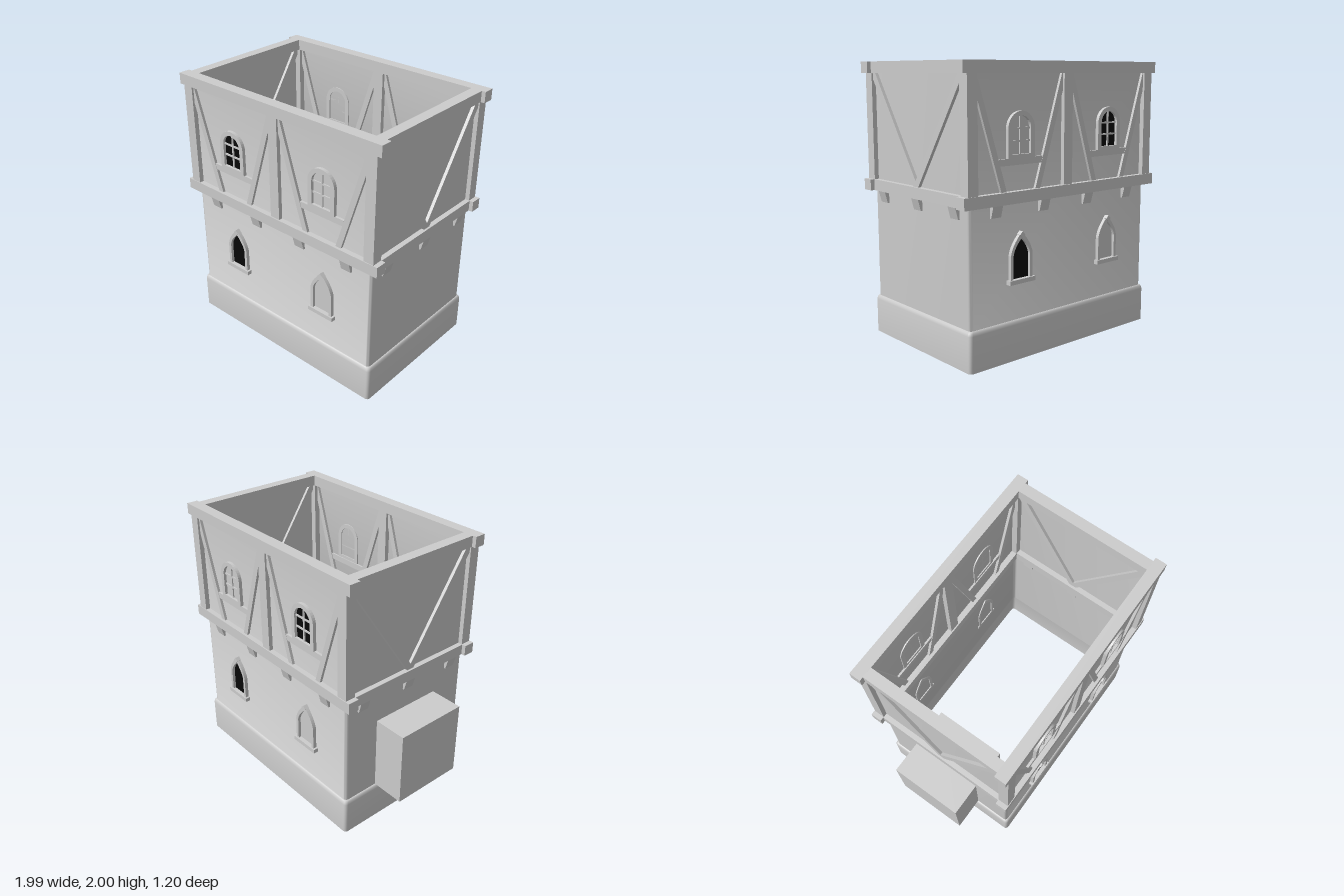
import * as THREE from 'three';
import { toCreasedNormals } from 'three/addons/utils/BufferGeometryUtils.js';

const CX = 0.09;            // middle of the house in x (the side box shifts it)
const HX = 0.837, HZ = 0.56; // half sizes of the wall shell

export function createModel() {
  const stone = new THREE.MeshStandardMaterial({ color: 0xcccccc });
  stone.name = 'plain grey';
  const shellMat = new THREE.MeshStandardMaterial({ color: 0xcccccc, side: THREE.DoubleSide });
  shellMat.name = 'plain grey shell';
  const dark = new THREE.MeshStandardMaterial({ color: 0x080808 });
  dark.name = 'dark glass';

  const model = new THREE.Group();
  model.name = 'timberHouse';
  const house = new THREE.Group();
  house.name = 'house';
  house.position.x = CX;
  model.add(house);

  const add = (parent, name, geo, mat = stone) => {
    const m = new THREE.Mesh(geo, mat);
    m.name = name;
    parent.add(m);
    return m;
  };
  // box from its lower and upper limits
  const block = (parent, name, x0, x1, y0, y1, z0, z1) => {
    const m = add(parent, name, new THREE.BoxGeometry(x1 - x0, y1 - y0, z1 - z0));
    m.position.set((x0 + x1) / 2, (y0 + y1) / 2, (z0 + z1) / 2);
    return m;
  };
  const slab = (shape, z0, z1) => new THREE.ExtrudeGeometry(shape,
    { depth: z1 - z0, bevelEnabled: false, curveSegments: 10 }).translate(0, 0, z0);
  const polygon = (pts) => new THREE.Shape(pts.map(([x, y]) => new THREE.Vector2(x, y)));

  // window outlines
  const roundArch = (w, bottom, spring) => {
    const s = new THREE.Shape();
    s.moveTo(-w, bottom);
    s.lineTo(w, bottom);
    s.lineTo(w, spring);
    s.absarc(0, spring, w, 0, Math.PI, false);
    s.lineTo(-w, bottom);
    return s;
  };
  const pointedArch = (w, bottom, spring, top) => {
    const s = new THREE.Shape();
    const mid = spring + (top - spring) * 0.5;
    s.moveTo(-w, bottom);
    s.lineTo(w, bottom);
    s.lineTo(w, spring);
    s.quadraticCurveTo(w * 0.85, mid, 0, top);
    s.quadraticCurveTo(-w * 0.85, mid, -w, spring);
    s.lineTo(-w, bottom);
    return s;
  };

  // Open wall shell with a wider plinth, lofted from rounded rectangles
  const ring = (y, grow) => {
    const pts = [], r = 0.025, n = 4;
    [[1, 1], [-1, 1], [-1, -1], [1, -1]].forEach(([sx, sz], q) => {
      for (let i = 0; i <= n; i++) {
        const a = (q + i / n) * Math.PI / 2;
        pts.push(sx * (HX + grow - r) + r * Math.cos(a), y, sz * (HZ + grow - r) + r * Math.sin(a));
      }
    });
    return pts;
  };
  const profile = [[0, 0.018], [0.25, 0.018], [0.27, 0.013], [0.28, 0.005], [0.28, 0], [1.96, 0]];
  const pos = profile.flatMap(([y, g]) => ring(y, g));
  const N = 20, idx = [];
  for (let j = 0; j < profile.length - 1; j++) {
    for (let i = 0; i < N; i++) {
      const a = j * N + i, b = j * N + (i + 1) % N;
      idx.push(a, a + N, b, b, a + N, b + N);
    }
  }
  const shell = new THREE.BufferGeometry();
  shell.setAttribute('position', new THREE.Float32BufferAttribute(pos, 3));
  shell.setIndex(idx);
  add(house, 'wallShell', toCreasedNormals(shell, 0.9), shellMat);

  // Box against the left-hand gable
  block(model, 'sideBox', -1, -0.44, 0.28, 0.84, -0.28, 0.28);

  // Beams running round the top and the middle
  for (const y of [1.08, 1.92]) {
    for (const s of [-1, 1]) {
      const z = s * 0.5575, x = s * 0.835;
      block(house, 'longBeam', -0.905, 0.905, y, y + 0.08, z - 0.0425, z + 0.0425);
      block(house, 'crossBeam', x - 0.04, x + 0.04, y, y + 0.08, -0.52, 0.52);
    }
  }
  for (const x of [-0.83, 0.83]) {
    for (const z of [-0.555, 0.555]) {
      block(house, 'cornerPost', x - 0.04, x + 0.04, 1.16, 1.92, z - 0.04, z + 0.04);
    }
  }

  // Wedge-shaped corbel below the middle beam, facing +z
  const corbel = (parent, x, wall) => {
    const side = polygon([[wall - 0.02, 1.0], [wall + 0.013, 1.0], [wall + 0.035, 1.08], [wall - 0.02, 1.08]]);
    const m = add(parent, 'corbel', slab(side, -0.041, 0.041));
    m.rotation.y = -Math.PI / 2;
    m.position.x = x;
  };

  const upperWindow = (bay, mat) => {
    const w = new THREE.Group();
    w.name = 'upperWindow';
    bay.add(w);
    const frame = roundArch(0.115, 1.375, 1.565);
    frame.holes.push(roundArch(0.081, 1.40, 1.568));
    add(w, 'roundFrame', slab(frame, 0.552, 0.585));
    add(w, 'upperGlass', new THREE.ShapeGeometry(roundArch(0.083, 1.395, 1.568), 10).translate(0, 0, 0.564), mat);
    block(w, 'glazingBarUpright', -0.006, 0.006, 1.40, 1.65, 0.56, 0.573);
    for (const y of [1.485, 1.567]) block(w, 'glazingBar', -0.082, 0.082, y - 0.006, y + 0.006, 0.56, 0.573);
  };

  const lowerWindow = (bay, mat) => {
    const w = new THREE.Group();
    w.name = 'lowerWindow';
    bay.add(w);
    const frame = pointedArch(0.096, 0.555, 0.73, 0.882);
    frame.holes.push(pointedArch(0.073, 0.565, 0.73, 0.842));
    add(w, 'pointedFrame', slab(frame, 0.552, 0.586));
    add(w, 'lowerGlass', new THREE.ShapeGeometry(pointedArch(0.075, 0.56, 0.73, 0.845), 10).translate(0, 0, 0.564), mat);
    block(w, 'windowSill', -0.112, 0.112, 0.535, 0.565, 0.552, 0.596);
    add(w, 'keystone', slab(polygon([[0, 0.843], [0.023, 0.865], [0, 0.888], [-0.023, 0.865]]), 0.552, 0.594));
  };

  // Long sides: front, then the back turned half round
  const longSide = (name, turn, darkUpper, darkLower) => {
    const side = new THREE.Group();
    side.name = name;
    side.rotation.y = turn;
    house.add(side);
    block(side, 'middlePost', -0.04, 0.04, 1.16, 1.92, 0.525, 0.59);
    for (const x of [-0.63, -0.21, 0.21, 0.63]) corbel(side, x, HZ);
    for (const s of [-1, 1]) {
      const bay = new THREE.Group();
      bay.name = 'bay';
      bay.position.x = s * 0.42;
      side.add(bay);
      for (const m of [-1, 1]) {
        const brace = [[-0.375, 1.81], [-0.17, 1.16], [-0.125, 1.16], [-0.365, 1.92], [-0.375, 1.92]];
        add(bay, 'brace', slab(polygon(brace.map(([x, y]) => [x * m, y])), 0.54, 0.58));
      }
      block(bay, 'rail', -0.19, 0.19, 1.33, 1.375, 0.545, 0.578);
      upperWindow(bay, s === darkUpper ? dark : stone);
      lowerWindow(bay, s === darkLower ? dark : stone);
    }
  };
  longSide('frontSide', 0, -1, -1);
  longSide('backSide', Math.PI, 1, -1);

  // Gable sides with a V of braces
  for (const s of [-1, 1]) {
    const side = new THREE.Group();
    side.name = s > 0 ? 'leftSide' : 'rightSide';
    side.rotation.y = s * Math.PI / 2;
    house.add(side);
    for (const x of [-0.42, 0, 0.42]) corbel(side, x, HX);
    const vee = polygon([[-0.52, 1.885], [-0.03, 1.16], [0.03, 1.16], [0.52, 1.885], [0.52, 1.92],
      [0.483, 1.92], [0, 1.2], [-0.483, 1.92], [-0.52, 1.92]]);
    add(side, 'gableBraces', slab(vee, 0.815, 0.86));
  }
  return model;
}
